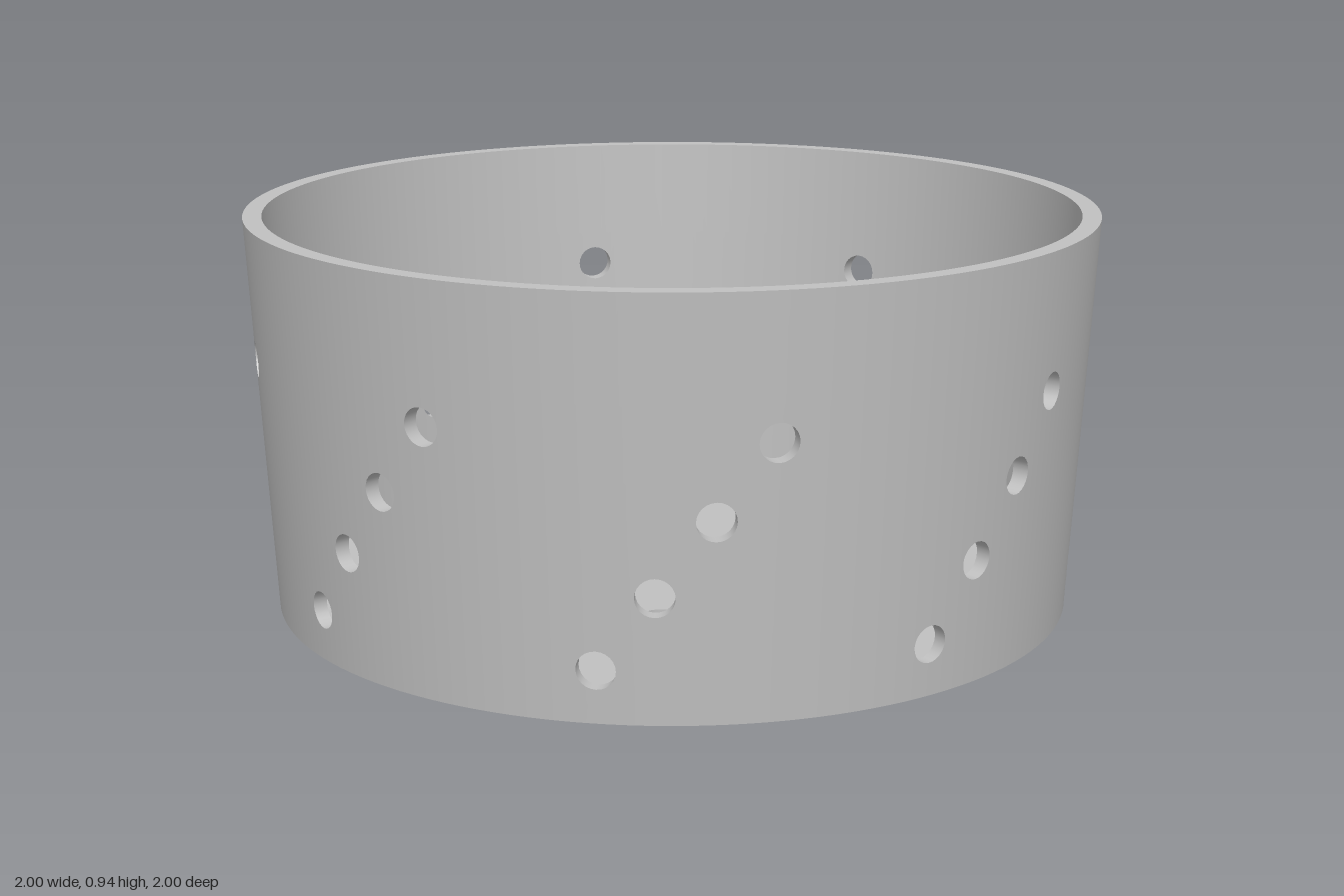
import * as THREE from 'three';

const H = 0.935, FLOOR = 0.03;            // height, floor thickness
const HOLE = 0.043;                       // hole radius
const BOTTOM = 0.947, TOP = 1.0;          // outer radii
const IN_BOTTOM = 0.917, IN_TOP = 0.956;  // inner radii
const COLS = 144, STEP = (Math.PI * 2) / COLS, START = THREE.MathUtils.degToRad(6.25);
const ROW_EDGES = [0, 0.2025, 0.3675, 0.5325, 0.6975, H];
const HOLE_Y = [0.12, 0.285, 0.45, 0.615];
const HOLE_SEGS = 24;

const outerR = y => BOTTOM + (TOP - BOTTOM) * y / H;
const innerR = y => IN_BOTTOM + (IN_TOP - IN_BOTTOM) * (y - FLOOR) / (H - FLOOR);

// Collects triangles with explicit normals
function makeBuilder() {
  const pos = [], nor = [];
  return {
    tri(points, normals) {
      points.forEach((p, i) => { pos.push(p.x, p.y, p.z); nor.push(normals[i].x, normals[i].y, normals[i].z); });
    },
    build() {
      const g = new THREE.BufferGeometry();
      g.setAttribute('position', new THREE.Float32BufferAttribute(pos, 3));
      g.setAttribute('normal', new THREE.Float32BufferAttribute(nor, 3));
      return g;
    }
  };
}

// Point on a tapered wall surface: p.x is the angle, p.y the height
const onWall = (p, radius) =>
  new THREE.Vector3(Math.sin(p.x) * radius(p.y), p.y, Math.cos(p.x) * radius(p.y));

// One skin of the wall: plain strips, plus square patches around the holes
function wallSkin(radius, y0, inside) {
  const b = makeBuilder();
  const slope = radius(1) - radius(0), sign = inside ? -1 : 1;
  const normal = p => new THREE.Vector3(Math.sin(p.x), -slope, Math.cos(p.x)).normalize().multiplyScalar(sign);
  const add = pts => {
    const t = inside ? [pts[0], pts[2], pts[1]] : pts;
    b.tri(t.map(p => onWall(p, radius)), t.map(normal));
  };
  for (let row = 0; row < 5; row++) {
    const lo = row === 0 ? y0 : ROW_EDGES[row], hi = ROW_EDGES[row + 1];
    for (let i = 0; i < COLS; i++) {
      const k = (i - 3 * row + COLS) % 18;
      const at = (c, y) => new THREE.Vector2(START + c * STEP, y);
      if (row === 4 || k > 2) {
        add([at(i, lo), at(i + 1, lo), at(i + 1, hi)]);
        add([at(i, lo), at(i + 1, hi), at(i, hi)]);
      } else if (k === 0) {
        const outline = [0, 1, 2, 3].map(c => at(i + c, lo)).concat([3, 2, 1, 0].map(c => at(i + c, hi)));
        const hole = holeLoop(START + (i + 1.5) * STEP, HOLE_Y[row], radius).reverse();
        const all = outline.concat(hole);
        THREE.ShapeUtils.triangulateShape(outline, [hole]).forEach(f => add(f.map(n => all[n])));
      }
    }
  }
  return b.build();
}

// Edge of a straight radial bore where it meets a wall skin
function holeLoop(angle, y, radius) {
  return Array.from({ length: HOLE_SEGS }, (_, i) => {
    const a = (i / HOLE_SEGS) * Math.PI * 2, py = y + HOLE * Math.sin(a);
    return new THREE.Vector2(angle + Math.asin(HOLE * Math.cos(a) / radius(py)), py);
  });
}

// Linings of all the wall holes, eight rising diagonals of four
function holeLinings() {
  const b = makeBuilder();
  for (let row = 0; row < 4; row++) for (let k = 0; k < 8; k++) {
    const angle = START + (3 * row + 18 * k + 1.5) * STEP;
    const outer = holeLoop(angle, HOLE_Y[row], outerR).map(p => onWall(p, outerR));
    const inner = holeLoop(angle, HOLE_Y[row], innerR).map(p => onWall(p, innerR));
    const norm = i => {
      const a = (i / HOLE_SEGS) * Math.PI * 2;
      return new THREE.Vector3(-Math.cos(a) * Math.cos(angle), -Math.sin(a), Math.cos(a) * Math.sin(angle));
    };
    for (let i = 0; i < HOLE_SEGS; i++) {
      const j = (i + 1) % HOLE_SEGS, n = norm(i), m = norm(j);
      b.tri([outer[i], outer[j], inner[j]], [n, m, m]);
      b.tri([outer[i], inner[j], inner[i]], [n, m, n]);
    }
  }
  return b.build();
}

// Floor disc with a centre hole, two more along x and two on each diagonal
function floorGeometry() {
  const shape = new THREE.Shape().absarc(0, 0, IN_BOTTOM, 0, Math.PI * 2);
  const drill = (x, y) => shape.holes.push(new THREE.Path().absarc(x, y, HOLE, 0, Math.PI * 2, true));
  drill(0, 0);
  for (let i = 0; i < 6; i++) for (const r of [0.33, 0.66]) {
    const a = (i * Math.PI) / 3;
    drill(r * Math.cos(a), r * Math.sin(a));
  }
  return new THREE.ExtrudeGeometry(shape, { depth: FLOOR, bevelEnabled: false, curveSegments: 72 }).rotateX(-Math.PI / 2);
}

export function createModel() {
  const group = new THREE.Group();
  group.name = 'perforatedBasket';
  const grey = new THREE.MeshStandardMaterial({ color: 0xc0c0c0 });
  grey.name = 'light grey';
  const add = (name, geometry) => {
    const mesh = new THREE.Mesh(geometry, grey);
    mesh.name = name;
    group.add(mesh);
  };
  add('outerWall', wallSkin(outerR, 0, false));
  add('innerWall', wallSkin(innerR, FLOOR, true));
  add('wallHoleLinings', holeLinings());
  add('floor', floorGeometry());
  // Flat rings closing the wall, turned so their points meet the wall columns
  add('topRim', new THREE.RingGeometry(IN_TOP, TOP, COLS).rotateZ(START).rotateX(-Math.PI / 2).translate(0, H, 0));
  add('bottomRim', new THREE.RingGeometry(IN_BOTTOM, BOTTOM, COLS).rotateZ(START).rotateX(Math.PI / 2));
  return group;
}
